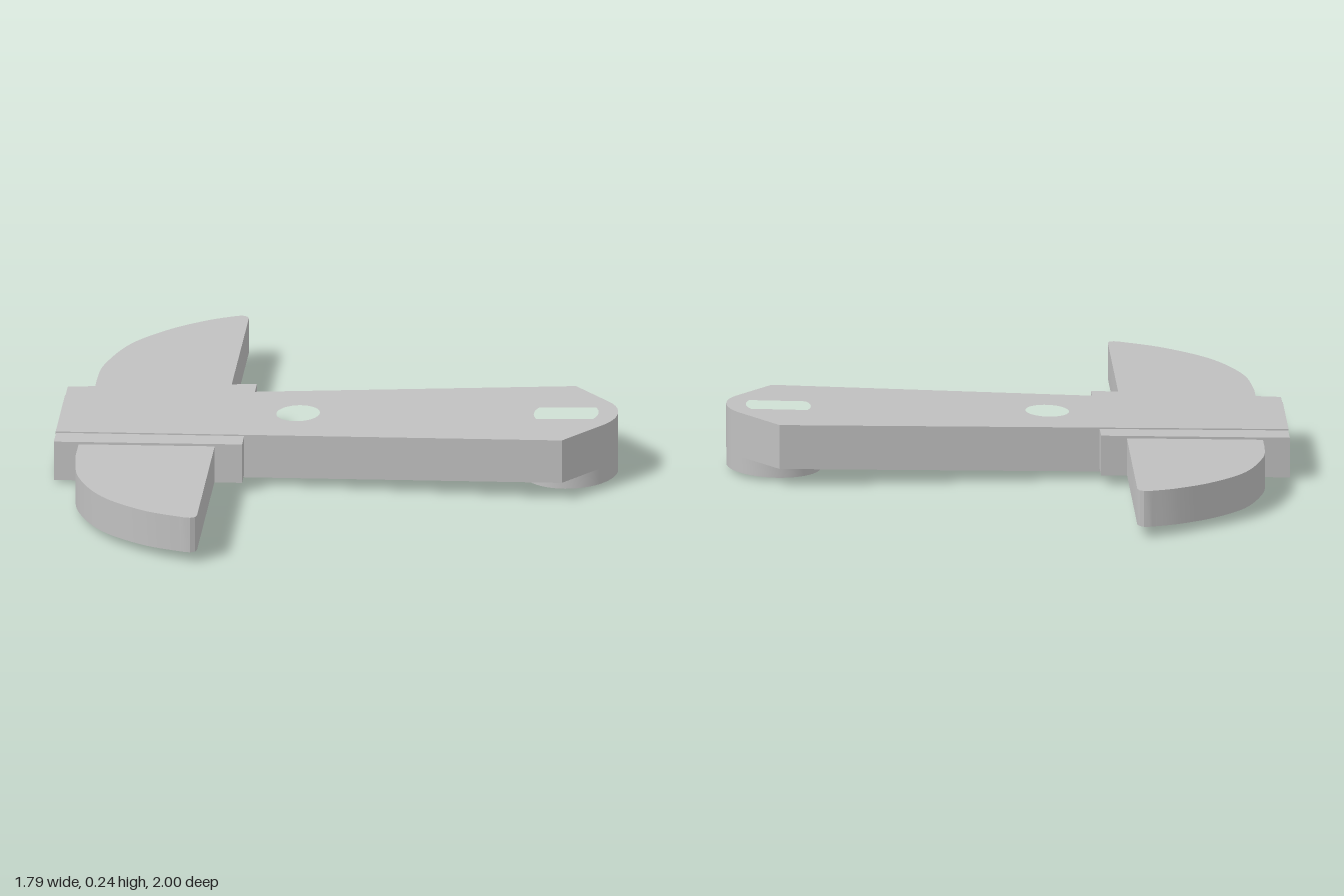
import * as THREE from 'three';
import { toCreasedNormals } from 'three/addons/utils/BufferGeometryUtils.js';

const grey = new THREE.MeshStandardMaterial({ color: 0xc0c0c0 });
grey.name = 'plainGrey';

// plan points are [x, z]; shapes use (x, -z) and are laid flat afterwards
const plan = (points) => points.map(([x, z]) => new THREE.Vector2(x, -z));

const arc = (cx, cz, r, from, to, steps) =>
  Array.from({ length: steps + 1 }, (_, i) => {
    const a = from + ((to - from) * i) / steps;
    return [cx + r * Math.cos(a), cz + r * Math.sin(a)];
  });

const rad = THREE.MathUtils.degToRad;

// the whole lever rises gently along the arm
const rise = (x, z) => 0.0378 * (0.515 * x + 0.857 * z + 0.833);

// plate between two heights, following the rise
function plate(name, points, bottom, top, holes = []) {
  const shape = new THREE.Shape(plan(points));
  shape.holes = holes.map((h) => new THREE.Path(plan(h)));
  const geo = new THREE.ExtrudeGeometry(shape, { depth: top - bottom, bevelEnabled: false });
  geo.rotateX(-Math.PI / 2);
  const p = geo.attributes.position;
  for (let i = 0; i < p.count; i++) {
    p.setY(i, p.getY(i) + bottom + rise(p.getX(i), p.getZ(i)));
  }
  const mesh = new THREE.Mesh(toCreasedNormals(geo, rad(30)), grey);
  mesh.name = name;
  return mesh;
}

// smooth run through plan points
const smooth = (points, steps) =>
  new THREE.SplineCurve(points.map(([x, z]) => new THREE.Vector2(x, z)))
    .getPoints(steps)
    .map((v) => [v.x, v.y]);

export function createModel() {
  const group = new THREE.Group();
  group.name = 'lever';

  // slot with two flat sides and two round ends, in line with the arm
  const [bx, bz] = [0.658, 0.806];
  const slot = [
    ...arc(bx, bz, 0.119, rad(59 - 29.5), rad(59 + 29.5), 10),
    ...arc(bx, bz, 0.119, rad(239 - 29.5), rad(239 + 29.5), 10),
  ];
  const pivotHole = arc(0.148, -0.038, 0.08, 0, Math.PI * 2, 40).slice(0, -1);

  // tapered arm with rounded nose
  const arm = [
    [-0.46, -0.692], [-0.15, -0.88], [0.895, 0.675],
    ...arc(0.665, 0.82, 0.175, rad(17), rad(98), 18),
    [0.43, 0.955],
  ];
  group.add(plate('arm', arm, 0, 0.167, [slot, pivotHole]));

  // round boss under the nose
  const boss = arc(0.665, 0.82, 0.175, 0, Math.PI * 2, 48).slice(0, -1);
  group.add(plate('boss', boss, -0.061, 0.001, [slot]));

  // block that carries the wings
  const block = [[-0.535, -0.645], [-0.065, -0.93], [0.315, -0.35], [-0.2, -0.035]];
  group.add(plate('wingBlock', block, 0.011, 0.162));

  // wings: straight front edge, curved back edge, small rounded tip
  const rightWing = [
    [-0.08, -0.807], [-0.015, -0.845],
    ...smooth([[0.07, -0.897], [0.2, -0.96], [0.41, -1], [0.6, -0.967], [0.75, -0.9], [0.845, -0.832]], 32),
    [0.857, -0.815], [0.858, -0.798], [0.846, -0.781],
    [0.265, -0.43], [0.2, -0.391],
  ];
  group.add(plate('leftWing', rightWing, 0.017, 0.153));

  const leftWing = [
    [-0.425, -0.604], [-0.49, -0.565],
    ...smooth([[-0.59, -0.505], [-0.75, -0.375], [-0.865, -0.185], [-0.9, 0.03], [-0.878, 0.205]], 32),
    [-0.87, 0.226], [-0.855, 0.237], [-0.836, 0.232],
    [-0.255, -0.12], [-0.19, -0.159],
  ];
  group.add(plate('rightWing', leftWing, 0.017, 0.153));

  return group;
}
